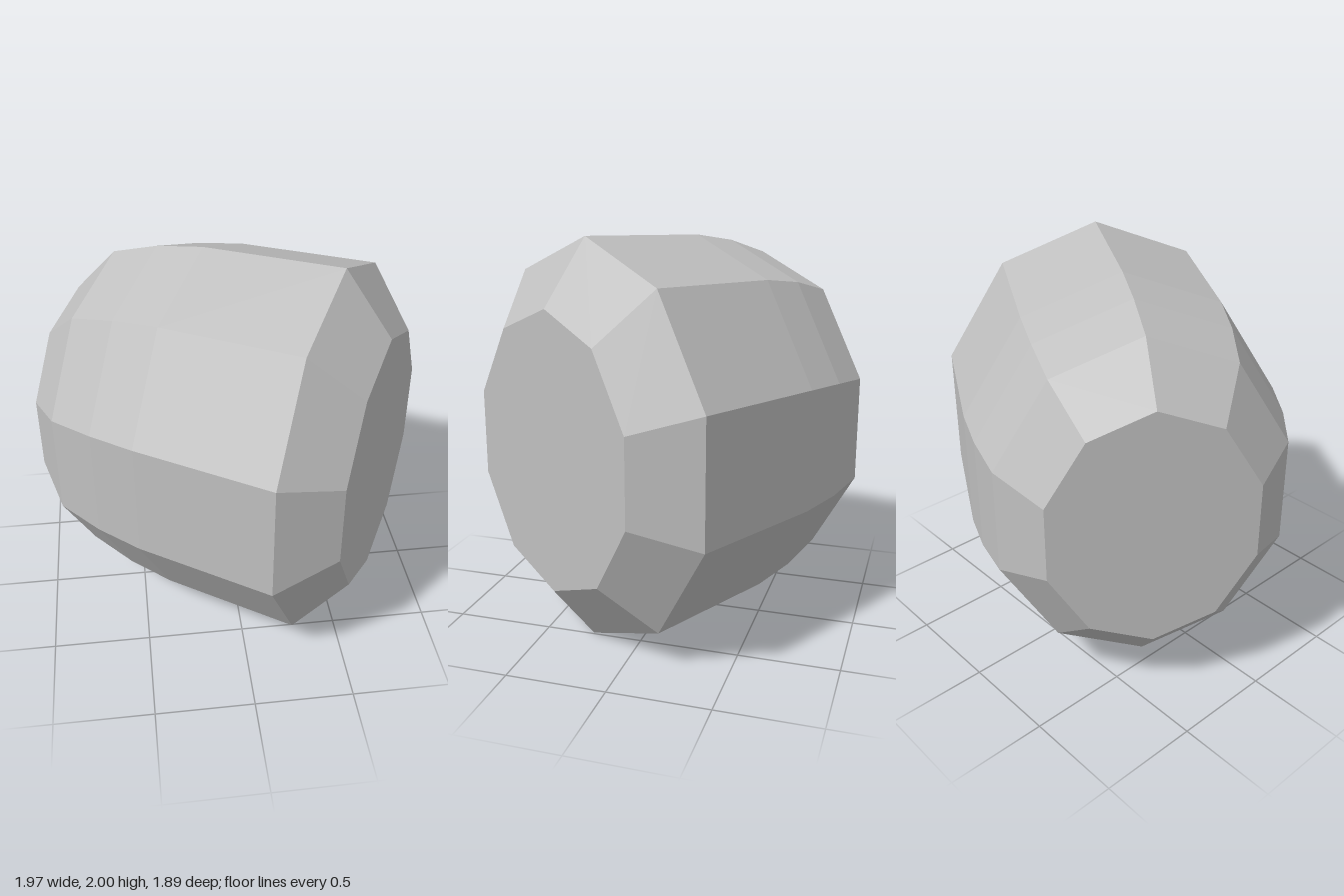
import * as THREE from 'three';

const SIDES = 10;
const FLATTEN = 0.844; // sideways squash of the ten-sided section

// radius and position along the barrel axis, back to front
const PROFILE = [
  [0.612, -0.831], [0.855, -0.604], [0.93, -0.359],
  [0.97, -0.114], [1, 0.597], [0.69, 0.836],
];

function faceted(geometry) {
  const flat = geometry.toNonIndexed();
  flat.computeVertexNormals();
  return flat;
}

export function createModel() {
  const model = new THREE.Group();
  model.name = 'facetedBarrel';
  const grey = new THREE.MeshStandardMaterial({ color: 0xc0c0c0 });
  grey.name = 'plain grey';

  const barrel = new THREE.Group();
  barrel.name = 'barrel';
  const add = (name, geometry) => {
    const mesh = new THREE.Mesh(faceted(geometry.scale(FLATTEN, 1, 1)), grey);
    mesh.name = name;
    barrel.add(mesh);
  };

  // bulging shell with a bevelled front rim
  const points = PROFILE.map(([r, t]) => new THREE.Vector2(r, t));
  add('shell', new THREE.LatheGeometry(points, SIDES));

  // flat end caps
  const cap = ([r, t], side) => new THREE.CircleGeometry(r, SIDES, side * Math.PI / 2)
    .rotateX(-side * Math.PI / 2).translate(0, t, 0);
  add('frontCap', cap(PROFILE[PROFILE.length - 1], 1));
  add('backCap', cap(PROFILE[0], -1));

  // lay the barrel down, its axis turned between front and left
  const angle = THREE.MathUtils.degToRad(30.9);
  const axis = new THREE.Vector3(Math.cos(angle), 0, Math.sin(angle));
  const up = new THREE.Vector3(0, 1, 0);
  const across = new THREE.Vector3().crossVectors(axis, up);
  barrel.quaternion.setFromRotationMatrix(new THREE.Matrix4().makeBasis(across, axis, up));
  barrel.position.set(-0.022, 1, -0.053);
  model.add(barrel);
  return model;
}
